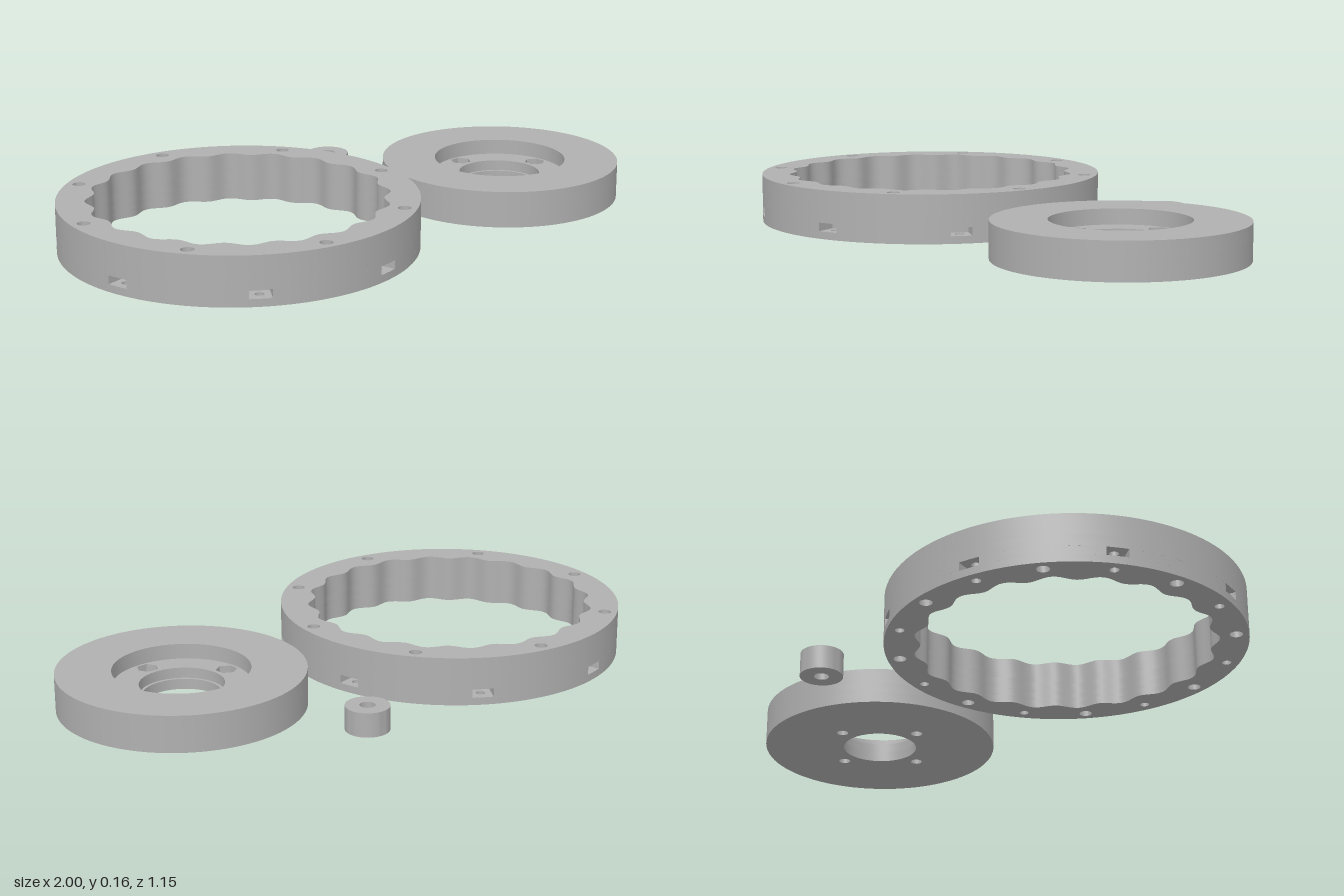
import * as THREE from 'three';
import { toCreasedNormals } from 'three/addons/utils/BufferGeometryUtils.js';

const grey = new THREE.MeshStandardMaterial({ color: 0xb0b0b0 });
grey.name = 'plain grey';

// Closed outline from a polar radius rule
function polarPath(radius, steps, cx = 0, cy = 0, turn = 0) {
  const pts = [];
  for (let i = 0; i < steps; i++) {
    const a = turn + (i / steps) * Math.PI * 2;
    const r = typeof radius === 'function' ? radius(a) : radius;
    pts.push(new THREE.Vector2(cx + r * Math.cos(a), cy + r * Math.sin(a)));
  }
  return pts;
}

// Evenly spaced holes on a circle; few sides give polygon pockets
function boltCircle(count, start, distance, radius, steps = 24, turn = 0) {
  return Array.from({ length: count }, (_, i) => {
    const a = start + (i / count) * Math.PI * 2;
    return polarPath(radius, steps, distance * Math.cos(a), distance * Math.sin(a), a + turn);
  });
}

// Horizontal slab with holes between two heights
function slab(name, outline, holes, y0, y1) {
  const shape = new THREE.Shape(outline);
  for (const h of holes) shape.holes.push(new THREE.Path(h));
  const geo = new THREE.ExtrudeGeometry(shape, { depth: y1 - y0, bevelEnabled: false, curveSegments: 1 });
  geo.rotateX(-Math.PI / 2).translate(0, y0, 0);
  const mesh = new THREE.Mesh(toCreasedNormals(geo, 0.5), grey);
  mesh.name = name;
  return mesh;
}

// Outer ring outline notched by radial nut slots
function slottedOutline(radius, start, count, halfWidth, depthRadius) {
  const pts = [];
  const half = Math.asin(halfWidth / radius);
  const step = (Math.PI * 2) / count;
  for (let i = 0; i < count; i++) {
    const a = start + i * step;
    for (const s of [-1, 1]) {
      pts.push(new THREE.Vector2(
        depthRadius * Math.cos(a) - s * halfWidth * Math.sin(a),
        depthRadius * Math.sin(a) + s * halfWidth * Math.cos(a)));
    }
    for (let k = 0; k <= 12; k++) {
      const b = a + half + (k / 12) * (step - 2 * half);
      pts.push(new THREE.Vector2(radius * Math.cos(b), radius * Math.sin(b)));
    }
    // the next slot starts from the last arc point
  }
  return pts;
}

function makeRing() {
  const ring = new THREE.Group();
  ring.name = 'lobedRing';
  const R = 0.576;
  const outer = polarPath(R, 128);
  const lobes = polarPath((a) => 0.472 + 0.012 * Math.cos(20 * a), 240);
  const boltStart = THREE.MathUtils.degToRad(33.75);
  const slotStart = THREE.MathUtils.degToRad(11.25);
  const bolts = boltCircle(8, boltStart, 0.535, 0.021);
  const screws = boltCircle(8, slotStart, 0.535, 0.015);
  ring.add(
    slab('ringBase', outer, [lobes, ...bolts, ...screws], 0, 0.025),
    slab('ringSlotLayer', slottedOutline(R, slotStart, 8, 0.035, 0.505), [lobes, ...bolts], 0.025, 0.053),
    slab('ringMiddle', outer, [lobes, ...bolts, ...screws], 0.053, 0.09),
    slab('ringTop', outer, [lobes, ...bolts], 0.09, 0.16),
  );
  ring.position.set(-0.424, 0, 0);
  return ring;
}

function makeDisc() {
  const disc = new THREE.Group();
  disc.name = 'recessedDisc';
  const outer = polarPath(0.401, 96);
  const bolts = boltCircle(4, 0, 0.182, 0.02);
  const nuts = boltCircle(4, 0, 0.182, 0.036, 6, Math.PI / 2);
  disc.add(
    slab('discBase', outer, [polarPath(0.127, 64), ...bolts], 0, 0.035),
    slab('discNutLayer', outer, [polarPath(0.137, 64), ...nuts], 0.035, 0.07),
    slab('discRim', outer, [polarPath(0.222, 64)], 0.07, 0.121),
  );
  disc.position.set(0.597, 0, 0.175);
  return disc;
}

export function createModel() {
  const model = new THREE.Group();
  model.name = 'driveParts';

  // Small roller with a bore
  const roller = slab('roller', polarPath(0.071, 48), [polarPath(0.025, 24)], 0, 0.08);
  roller.position.set(0.303, 0, -0.378);

  model.add(makeRing(), makeDisc(), roller);
  return model;
}
